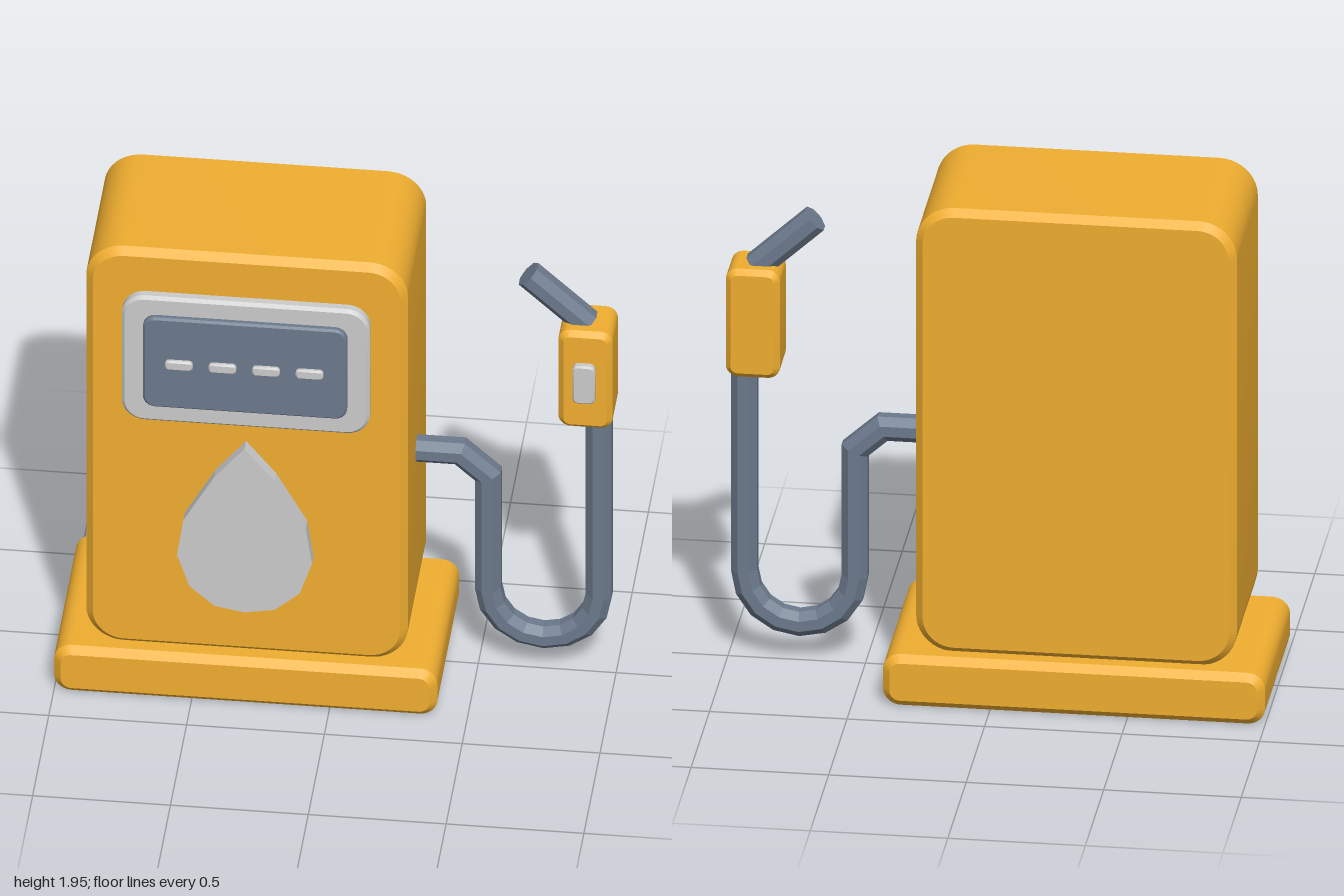
import * as THREE from 'three';
import { toCreasedNormals } from 'three/addons/utils/BufferGeometryUtils.js';

const yellow = new THREE.MeshStandardMaterial({ color: 0xf0ae30 });
const grey = new THREE.MeshStandardMaterial({ color: 0xcccccc });
const slate = new THREE.MeshStandardMaterial({ color: 0x6c7a8c });
const slateFlat = new THREE.MeshStandardMaterial({ color: 0x6c7a8c, flatShading: true });

// Box with rounded corners in the front outline and chamfered front and back rims
function panel(name, material, [x0, x1], [y0, y1], [z0, z1], radius, bevel) {
  const w = (x1 - x0) / 2, h = (y1 - y0) / 2, r = radius;
  const s = new THREE.Shape();
  s.absarc(w - r, h - r, r, 0, Math.PI / 2);
  s.absarc(r - w, h - r, r, Math.PI / 2, Math.PI);
  s.absarc(r - w, r - h, r, Math.PI, Math.PI * 1.5);
  s.absarc(w - r, r - h, r, Math.PI * 1.5, Math.PI * 2);
  s.closePath();
  const geo = new THREE.ExtrudeGeometry(s, {
    depth: z1 - z0 - 2 * bevel, curveSegments: 5, bevelEnabled: true,
    bevelSegments: 1, bevelSize: bevel, bevelThickness: bevel, bevelOffset: -bevel,
  });
  geo.translate((x0 + x1) / 2, (y0 + y1) / 2, z0 + bevel);
  const mesh = new THREE.Mesh(toCreasedNormals(geo, 0.45), material);
  mesh.name = name;
  return mesh;
}

// Eight-sided pipe along a path in the xy plane, mitred at each bend
function pipe(name, path, radius, sides = 8) {
  const pos = [], index = [], n = path.length;
  path.forEach((p, i) => {
    const dirIn = p.clone().sub(path[Math.max(i - 1, 0)]).normalize();
    const dirOut = path[Math.min(i + 1, n - 1)].clone().sub(p).normalize();
    const t = dirIn.clone().add(dirOut).normalize();
    const mitre = 1 / Math.max(t.dot(i ? dirIn : dirOut), 0.5);
    for (let k = 0; k < sides; k++) {
      const a = ((k + 0.5) / sides) * Math.PI * 2;
      const side = Math.cos(a) * radius * mitre;
      pos.push(p.x - t.y * side, p.y + t.x * side, Math.sin(a) * radius);
      const b = i * sides + k, c = i * sides + ((k + 1) % sides);
      if (i < n - 1) index.push(b, c, b + sides, c, c + sides, b + sides);
    }
  });
  // End caps
  const last = (n - 1) * sides;
  for (let k = 1; k < sides - 1; k++) {
    index.push(0, k + 1, k, last, last + k, last + k + 1);
  }
  const geo = new THREE.BufferGeometry();
  geo.setAttribute('position', new THREE.Float32BufferAttribute(pos, 3));
  geo.setIndex(index);
  const flat = geo.toNonIndexed();
  flat.computeVertexNormals();
  const mesh = new THREE.Mesh(flat, slateFlat);
  mesh.name = name;
  return mesh;
}

export function createModel() {
  const g = new THREE.Group();
  g.name = 'fuelPump';
  const v = (x, y) => new THREE.Vector2(x, y);

  // Cabinet and plinth
  g.add(panel('base', yellow, [-1, 0.39], [0, 0.2], [-0.375, 0.36], 0.065, 0.027));
  g.add(panel('body', yellow, [-0.89, 0.277], [0.195, 1.945], [-0.318, 0.303], 0.14, 0.027));

  // Display with four digit bars
  g.add(panel('displayFrame', grey, [-0.755, 0.145], [1.22, 1.77], [0.28, 0.342], 0.085, 0.012));
  g.add(panel('displayScreen', slate, [-0.675, 0.065], [1.3, 1.695], [0.32, 0.365], 0.045, 0.008));
  for (let i = 0; i < 4; i++) {
    const x = -0.543 + i * 0.158;
    g.add(panel('displayBar' + (i + 1), grey, [x - 0.05, x + 0.05], [1.478, 1.518], [0.35, 0.38], 0.014, 0.006));
  }

  // Fuel drop emblem: half outline mirrored about its axis
  const half = [[0, 1.135], [0.11, 1], [0.222, 0.8], [0.245, 0.645], [0.2, 0.51], [0.11, 0.43], [0, 0.41]];
  const cx = -0.307;
  const outline = [
    ...half.map(([x, y]) => v(cx + x, y)),
    ...half.slice(1, -1).reverse().map(([x, y]) => v(cx - x, y)),
  ];
  const dropGeo = new THREE.ExtrudeGeometry(new THREE.Shape(outline), { depth: 0.07, bevelEnabled: false });
  dropGeo.translate(0, 0, 0.283);
  const drop = new THREE.Mesh(dropGeo, grey);
  drop.name = 'drop';
  g.add(drop);

  // Hose: out of the cabinet, down, round a U-bend and up into the handle
  const path = [v(0.2, 0.937), v(0.435, 0.937), v(0.537, 0.845)];
  for (let i = 0; i <= 8; i++) {
    const a = Math.PI + (i / 8) * Math.PI;
    path.push(v(0.738 + 0.201 * Math.cos(a), 0.35 + 0.201 * Math.sin(a)));
  }
  path.push(v(0.939, 1.2));
  g.add(pipe('hose', path, 0.051));

  // Nozzle handle, trigger button and spout
  g.add(panel('handle', yellow, [0.8, 0.997], [1.14, 1.565], [-0.1, 0.1], 0.045, 0.02));
  g.add(panel('handleButton', grey, [0.855, 0.937], [1.268, 1.435], [0.08, 0.125], 0.022, 0.007));
  g.add(pipe('spout', [v(0.897, 1.545), v(0.682, 1.743)], 0.053));

  return g;
}
